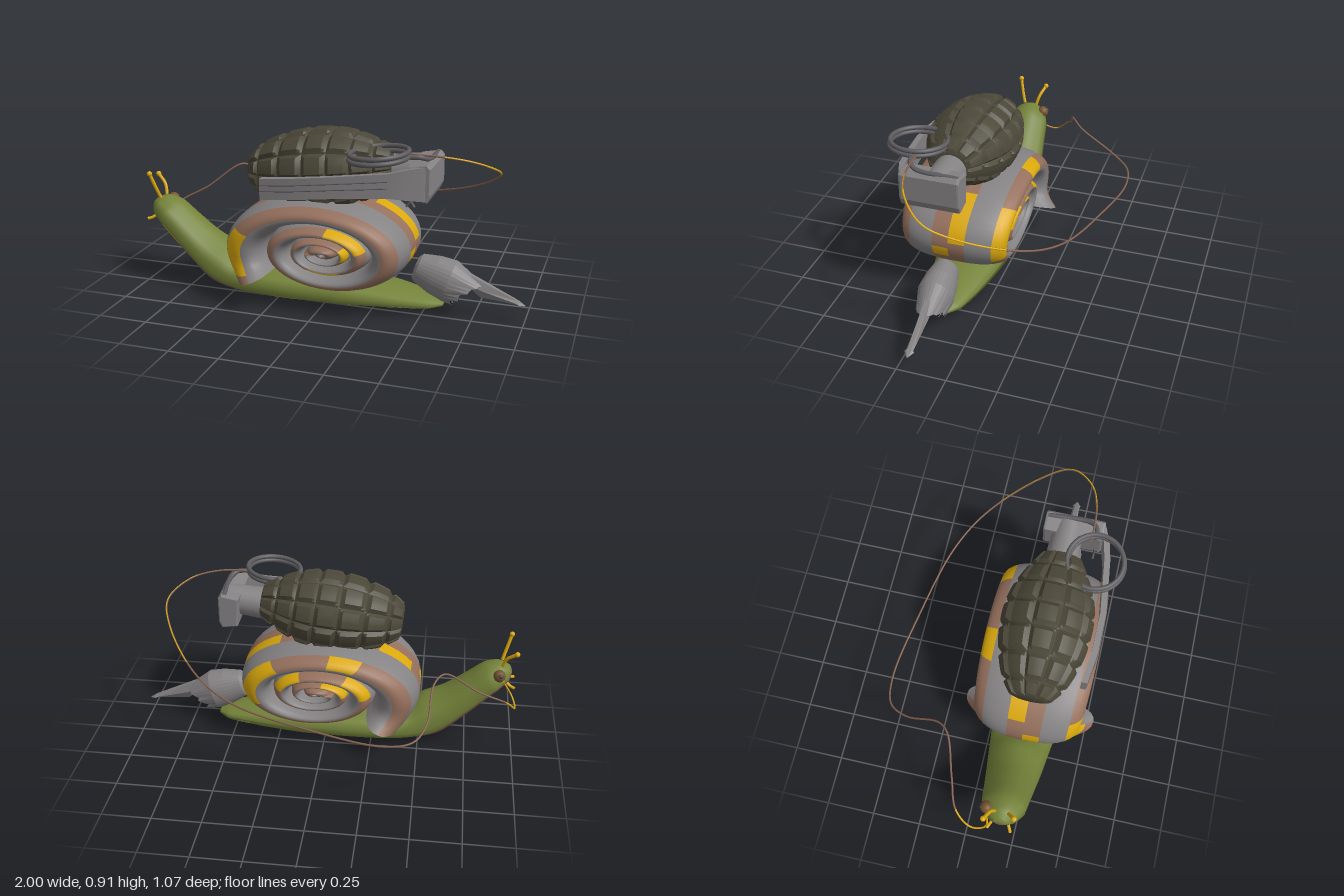
import * as THREE from 'three';
import { toCreasedNormals } from 'three/addons/utils/BufferGeometryUtils.js';

const V = (x, y, z) => new THREE.Vector3(x, y, z);
const mat = (name, color) => {
  const m = new THREE.MeshStandardMaterial({ color, side: THREE.DoubleSide });
  m.name = name;
  return m;
};
// A ring shrunk to its middle, used to close the end of a loft.
const closed = (r) => {
  const c = r.reduce((s, p) => s.add(p), V(0, 0, 0)).divideScalar(r.length);
  return r.map(() => c.clone());
};

// Skin closed rings of points; pick(i, j) chooses the material of each quad.
function loft(rings, { pick = () => 0, cap = true, crease = 0 } = {}) {
  if (cap) rings = [closed(rings[0]), ...rings, closed(rings[rings.length - 1])];
  const n = rings[0].length, sets = [];
  for (let i = 0; i < rings.length - 1; i++) {
    for (let j = 0; j < n; j++) {
      const k = (j + 1) % n, a = i * n + j, d = i * n + k, b = a + n, c = d + n;
      (sets[pick(i, j)] ??= []).push(a, d, b, d, c, b);
    }
  }
  const g = new THREE.BufferGeometry().setFromPoints(rings.flat());
  g.setIndex(sets.flat());
  let start = 0;
  sets.forEach((s, m) => { g.addGroup(start, s.length, m); start += s.length; });
  g.computeVertexNormals();
  return crease ? toCreasedNormals(g, crease) : g;
}

export function createModel() {
  const model = new THREE.Group();
  model.name = 'armedSnail';
  const shellGrey = mat('shellGrey', 0x858284), clay = mat('clay', 0x95705d);
  const yellow = mat('yellow', 0xdba90c), green = mat('skinGreen', 0x74833a);
  const olive = mat('ironOlive', 0x4b4738), eyeBrown = mat('eyeBrown', 0x75522f);
  const steel = mat('steel', 0x858284), dark = mat('darkSteel', 0x5d5b5e);
  const black = mat('soot', 0x0d0b0b), sole = mat('soleBrown', 0x85604f);
  const ZC = 0.18;

  const add = (name, geo, material) => {
    if (!Array.isArray(material)) geo.clearGroups();
    const m = new THREE.Mesh(geo, material);
    m.name = name;
    model.add(m);
    return m;
  };
  const tubeGeo = (pts, r, seg) =>
    new THREE.TubeGeometry(new THREE.CatmullRomCurve3(pts.map((p) => V(...p))), seg, r, 8);
  const tube = (name, pts, r, material, seg = 24) => add(name, tubeGeo(pts, r, seg), material);
  const ball = (name, p, r, material) => {
    add(name, new THREE.SphereGeometry(r, 16, 12), material).position.set(...p);
  };

  // Body: stations of x, y, half height, half width, from head to tail
  const stations = [
    [-0.965, 0.43, 0.02, 0.03], [-0.935, 0.415, 0.06, 0.075], [-0.87, 0.38, 0.08, 0.115],
    [-0.79, 0.31, 0.085, 0.125], [-0.68, 0.215, 0.095, 0.14], [-0.57, 0.14, 0.112, 0.155],
    [-0.45, 0.095, 0.088, 0.17], [-0.2, 0.088, 0.082, 0.195], [0.1, 0.085, 0.075, 0.19],
    [0.35, 0.073, 0.05, 0.15], [0.54, 0.058, 0.028, 0.09], [0.6, 0.052, 0.01, 0.035]];
  const path = new THREE.CatmullRomCurve3(stations.map(([x, y]) => V(x, y, 0)));
  const size = new THREE.CatmullRomCurve3(stations.map(([, , h, w]) => V(h, w, 0)));
  const half = [[0, -1], [0.42, -0.88], [0.74, -0.68], [0.95, -0.42], [0.87, -0.27], [0.98, 0.1],
    [0.82, 0.5], [0.4, 0.88], [0, 1]];
  const outline = [...half.map(([u, v]) => [-u, v]), ...half.slice(1, -1).reverse()];
  const bodyRings = [], bodyX = [];
  for (let i = 0; i <= 66; i++) {
    const t = i / 66, p = path.getPoint(t), d = path.getTangent(t), s = size.getPoint(t);
    bodyX.push(p.x);
    bodyRings.push(outline.map(([u, v]) => V(p.x - d.y * s.x * v, p.y + d.x * s.x * v, ZC + u * s.y)));
  }
  const patches = [[-0.86, -0.76], [-0.28, -0.12], [0.12, 0.25], [0.37, 0.6]];
  add('body', loft(bodyRings, {
    pick: (i, j) => {
      if (j > 2 && j < 13) return 0;
      const x = bodyX[Math.min(Math.max(i - 1, 0), 66)];
      return j > 12 && patches.some(([a, b]) => x > a && x < b) ? 2 : 1;
    },
  }), [green, sole, yellow]);

  // Head: eye stalks, feelers and the sore eye that holds the cord
  for (const s of [-1, 1]) {
    const z = ZC + s * 0.035, tip = s > 0 ? [-0.96, 0.595, ZC + 0.07] : [-0.985, 0.555, ZC - 0.075];
    tube('eyeStalk', [[-0.92, 0.46, z], [-0.935, 0.51, ZC + s * 0.05], tip], 0.009, yellow, 10);
    ball('eyeTip', tip, 0.014, yellow);
    tube('feeler', [[-0.94, 0.37, z], [-0.97, 0.35, ZC + s * 0.05], [-0.99, 0.345, ZC + s * 0.06]], 0.008, yellow, 8);
  }
  ball('soreEye', [-0.905, 0.425, 0.1], 0.032, eyeBrown);
  ball('sorePupil', [-0.91, 0.434, 0.081], 0.015, olive);

  // Shell: a flattened spiral whose section shrinks every turn; the last turn fills the centre
  const Q = 0.58, STEPS = 200, SIDES = 32, START = 218, TURNS = 4.1;
  const angleAt = (i) => START - (i / STEPS) * TURNS * 360;
  const shellRings = [];
  for (let i = 0; i <= STEPS; i++) {
    const deg = angleAt(i), th = THREE.MathUtils.degToRad(deg);
    const R = Q ** ((180 - deg) / 360), flare = Math.max(0, (deg - 195) / 23);
    const b = (0.28 + 0.018 * Math.sin(th)) * Math.min(R, 1) ** 0.09 + 0.075 * flare ** 2;
    const inner = deg < START - (TURNS - 1) * 360 ? 0 : Q;
    const ring = [];
    for (let j = 0; j < SIDES; j++) {
      const f = (j / SIDES) * Math.PI * 2, c = Math.cos(f), s = Math.sin(f);
      const lean = Math.sign(c) * Math.abs(c) ** 0.85 - 0.2 * s * s;
      const r = R * ((1 + inner) / 2 + ((1 - inner) / 2) * lean);
      ring.push(V(0.04 + 0.54 * r * Math.cos(th), 0.32 + 0.3 * r * Math.sin(th),
        0.19 + b * Math.sign(s) * Math.abs(s) ** 0.72));
    }
    shellRings.push(ring);
  }
  shellRings.push(closed(shellRings[STEPS]));
  const within = (d, list) => list.some(([hi, lo]) => d < hi && d > lo);
  add('shell', loft(shellRings, {
    cap: false,
    pick: (i, j) => {
      const d = angleAt(i), side = j < 16 ? j : SIDES - 1 - j;
      if (side === 0) return within(d, j === 0 ? [[195, 175], [6, -10]] : [[160, 135], [70, 15]]) ? 2 : 1;
      if (side < 4 || side > 7) return 0;
      return within(d, j < 16 ? [[215, 165], [-272, -340], [-410, -470], [-680, -740]]
        : [[125, 103], [62, -12], [-180, -225], [-290, -340], [-540, -610]]) ? 2 : 1;
    },
  }), [shellGrey, clay, yellow]);

  // Grenade: body of revolution cut by a grid of grooves
  const axisY = (x) => 0.703 + 0.11 * x;
  const profile = new THREE.SplineCurve([[-0.39, 0.1], [-0.3, 0.165], [-0.15, 0.215], [0, 0.23],
    [0.13, 0.212], [0.25, 0.16], [0.35, 0.1]].map(([x, r]) => new THREE.Vector2(x, r)));
  const cuts = [0, 0.07, 0.18, 0.4, 0.6, 0.82, 0.93];
  const depth = (f) => Math.min(1, Math.max(0, (Math.min(f, 1 - f) - 0.03) / 0.13));
  const ironRings = [];
  for (let row = 0; row < 7; row++) {
    for (const f of cuts) {
      const p = profile.getPoint((row + f) / 7), ring = [];
      for (let col = 0; col < 10; col++) {
        for (const g of cuts) {
          const a = ((col + g - 0.5) / 10) * Math.PI * 2;
          const r = p.y - 0.02 * (1 - Math.min(depth(f), depth(g)));
          ring.push(V(p.x - 0.11 * r * 0.88 * Math.cos(a), axisY(p.x) + r * 0.88 * Math.cos(a), 0.2 + r * Math.sin(a)));
        }
      }
      ironRings.push(ring);
    }
  }
  add('grenadeBody', loft(ironRings, { crease: 0.5 }), olive);

  // Fuse neck and head plate
  const neck = add('fuseNeck', new THREE.CylinderGeometry(0.075, 0.085, 0.22, 20), steel);
  neck.position.set(0.42, axisY(0.42) - 0.02, 0.2);
  neck.rotation.z = -Math.PI / 2 + 0.11;
  const plateShape = new THREE.Shape([[0.47, 0.64], [0.54, 0.63], [0.553, 0.66], [0.553, 0.785], [0.54, 0.8],
    [0.46, 0.785]].map((p) => new THREE.Vector2(...p)));
  const plate = add('fuseHead', new THREE.ExtrudeGeometry(plateShape, {
    depth: 0.28, bevelSize: 0.008, bevelThickness: 0.012, bevelSegments: 2 }), steel);
  plate.position.z = 0.09;

  // Safety lever: x, z, low y, high y
  const lever = [[0.545, 0.34, 0.63, 0.8], [0.535, 0.385, 0.63, 0.795], [0.45, 0.42, 0.64, 0.785],
    [0.37, 0.44, 0.648, 0.765], [0.1, 0.475, 0.63, 0.735], [-0.1, 0.475, 0.605, 0.71], [-0.26, 0.455, 0.585, 0.69]];
  add('safetyLever', loft(lever.map(([x, z, lo, hi]) => [V(x, hi, z), V(x, hi, z - 0.03),
    V(x, lo, z - 0.03), V(x, lo, z)]), { crease: 0.6 }), steel);
  for (const k of [0.4, 0.68]) {
    tube('leverRib', lever.slice(3).map(([x, z, lo, hi]) => [x, lo + (hi - lo) * k, z - 0.001]), 0.003, dark);
  }

  // Pull ring (two coils) and its split pin
  for (const k of [0, 1]) {
    const ring = add('pullRing', new THREE.TorusGeometry(0.14, 0.012, 10, 48), dark);
    ring.position.set(0.31, 0.822 + k * 0.024, 0.375 - k * 0.005);
    ring.rotation.set(Math.PI / 2, 0.09, 0);
  }
  tube('splitPin', [[0.45, 0.83, 0.35], [0.5, 0.83, 0.34], [0.53, 0.815, 0.3], [0.53, 0.8, 0.09]], 0.012, dark);
  for (const s of [-1, 1]) {
    tube('pinLeg', [[0.46, 0.66, 0.35], [0.46, 0.62, 0.35], [0.46 + s * 0.02, 0.59, 0.35]], 0.006, dark, 8);
  }

  // Cord from the ring around the back to the head, yellow on its outer side near both ends
  const cordGeo = tubeGeo([[0.42, 0.84, 0.33], [0.6, 0.835, 0.32], [0.74, 0.807, 0.27], [0.84, 0.74, 0.15],
    [0.8, 0.66, 0], [0.61, 0.525, -0.25], [0.4, 0.452, -0.38], [0, 0.397, -0.48], [-0.35, 0.37, -0.53],
    [-0.49, 0.385, -0.5], [-0.55, 0.43, -0.4], [-0.57, 0.54, -0.22], [-0.62, 0.57, -0.16], [-0.8, 0.44, -0.1],
    [-0.94, 0.36, -0.05], [-0.995, 0.275, 0.04], [-0.98, 0.3, 0.11], [-0.91, 0.42, 0.1]], 0.005, 160);
  for (let i = 0; i < 160; i++) {
    for (let j = 0; j < 8; j++) {
      const q = i * 48 + j * 6, nx = cordGeo.attributes.normal.getX(cordGeo.index.getX(q));
      cordGeo.addGroup(q, 6, (i < 44 && nx > 0.2) || (i > 142 && nx < 0.2) ? 1 : 0);
    }
  }
  add('cord', cordGeo, [sole, yellow]);

  // Tail barrel: its top tapers into the blade, its lower rim is torn, its inside is sooty
  const barrelRings = (inset) => [[0, 0.055], [0.015, 0.075], [0.1, 0.1], [0.18, 0.11], [0.27, 0.11]].map(([d, r], i) =>
    Array.from({ length: 32 }, (_, j) => {
      const a = (j / 32) * Math.PI * 2, c = Math.cos(a), rim = i === 4 ? 1 : 0;
      const x = d + rim * (0.07 * c + 0.018 * (j % 3) * (1 - c) / 2) + (i === 0 ? inset : 0);
      const rad = r - rim * 0.03 * (1 + c) - inset, y = rad * c;
      return V(0.455 + x * 0.95 + y * 0.31, 0.232 - x * 0.31 + y * 0.95, 0.19 + rad * 0.83 * Math.sin(a));
    }));
  for (const [name, inset, m] of [['tailBarrel', 0, steel], ['barrelInside', 0.006, black]]) {
    const rings = barrelRings(inset);
    rings.unshift(rings[0].map(() => V(0.455 + inset, 0.232, 0.19)));
    add(name, loft(rings, { cap: false, crease: 0.15 }), m);
  }

  // Tail blade: x, low y, high y, half width
  const blade = [[0.58, 0.22, 0.275, 0.02], [0.71, 0.165, 0.232, 0.03], [0.78, 0.108, 0.2, 0.024],
    [0.96, 0.092, 0.117, 0.018], [0.97, 0.09, 0.11, 0.024], [1, 0.088, 0.094, 0.003]];
  add('tailBlade', loft(blade.map(([x, lo, hi, w]) => [V(x, hi, 0.19 - w * 0.5), V(x, hi, 0.19 + w * 0.5),
    V(x, (lo + hi) / 2, 0.19 + w), V(x, lo, 0.19), V(x, (lo + hi) / 2, 0.19 - w)]), { crease: 0.3 }), steel);

  return model;
}
